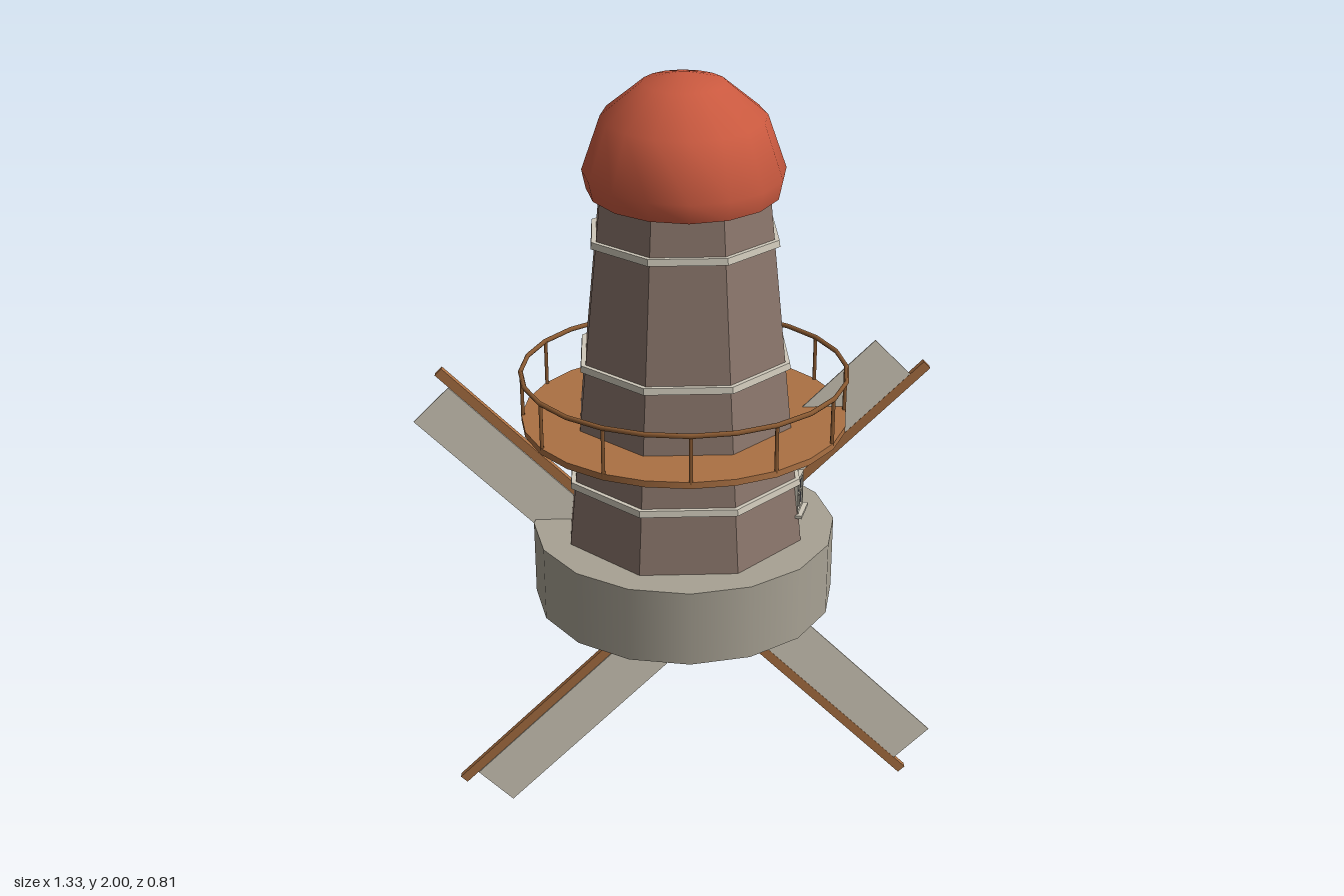
import * as THREE from 'three';
import { toCreasedNormals } from 'three/addons/utils/BufferGeometryUtils.js';

const mat = (name, color) => {
  const m = new THREE.MeshStandardMaterial({ color });
  m.name = name;
  return m;
};

export function createModel() {
  const stone = mat('grey stone', 0xa8a294);
  const brick = mat('brown brick', 0x8c776c);
  const trim = mat('pale trim', 0xcfc9ba);
  const canvas = mat('sail canvas', 0xd6cfbf);
  const red = mat('red roof', 0xc9593f);
  const wood = mat('light wood', 0xab7143);
  const darkWood = mat('dark wood', 0x8a5a32);
  const navy = mat('dark navy', 0x2a3148);

  const model = new THREE.Group();
  model.name = 'windmill';

  const add = (parent, name, geo, material, x = 0, y = 0, z = 0) => {
    const mesh = new THREE.Mesh(geo, material);
    mesh.name = name;
    mesh.position.set(x, y, z);
    parent.add(mesh);
    return mesh;
  };
  const box = (parent, name, size, material, x, y, z) =>
    add(parent, name, new THREE.BoxGeometry(...size), material, x, y, z);
  const group = (parent, name) => {
    const g = new THREE.Group();
    g.name = name;
    parent.add(g);
    return g;
  };

  // Flat-sided octagon with flats facing the axes, sized by its apothems
  const octagon = (top, bottom, height) => {
    const k = 1 / Math.cos(Math.PI / 8);
    const g = new THREE.CylinderGeometry(top * k, bottom * k, height, 8).rotateY(Math.PI / 8).toNonIndexed();
    g.computeVertexNormals();
    return g;
  };

  // Base and tapering tower with trim bands
  add(model, 'base', new THREE.CylinderGeometry(0.38, 0.38, 0.193, 16), stone, 0, 0.7635, 0);
  add(model, 'tower', octagon(0.194, 0.285, 0.89), brick, 0, 1.305, 0);
  const apothem = (y) => 0.285 - ((y - 0.86) / 0.89) * 0.091;
  for (const y of [1.02, 1.32, 1.62]) {
    add(model, 'band', octagon(apothem(y) + 0.01, apothem(y) + 0.012, 0.016), trim, 0, y, 0);
  }

  // Oval cap with a small arched vent at the back
  const profile = [[0, 1.73], [0.96, 1.73], [1, 1.775], [0.81, 1.9], [0.41, 1.976], [0, 2]]
    .map(([r, y]) => new THREE.Vector2(r, y));
  const cap = new THREE.LatheGeometry(profile, 16).scale(0.238, 1, 0.297);
  add(model, 'cap', toCreasedNormals(cap, 0.9), red);
  add(model, 'capVent', new THREE.TorusGeometry(0.027, 0.007, 6, 12, Math.PI), navy, 0, 1.825, -0.268);

  // Gallery: deck, posts and rail
  const gallery = group(model, 'gallery');
  add(gallery, 'deck', new THREE.CylinderGeometry(0.4, 0.4, 0.016, 24), wood, 0, 1.152, 0);
  add(gallery, 'rail', new THREE.TorusGeometry(0.398, 0.006, 6, 24).rotateX(Math.PI / 2), darkWood, 0, 1.274, 0);
  for (let i = 0; i < 12; i++) {
    const a = (i * Math.PI) / 6;
    add(gallery, 'post', new THREE.CylinderGeometry(0.005, 0.005, 0.12, 6), darkWood,
      Math.sin(a) * 0.396, 1.214, Math.cos(a) * 0.396);
  }

  // Door at the back, with frame, step, knob and canopy
  const door = group(model, 'door');
  box(door, 'doorPanel', [0.11, 0.225, 0.012], darkWood, 0, 0.975, -0.298);
  for (const s of [-1, 1]) box(door, 'doorJamb', [0.016, 0.24, 0.016], trim, s * 0.063, 0.98, -0.3);
  box(door, 'doorLintel', [0.142, 0.016, 0.016], trim, 0, 1.098, -0.3);
  box(door, 'doorStep', [0.16, 0.014, 0.08], trim, 0, 0.868, -0.333);
  add(door, 'doorKnob', new THREE.SphereGeometry(0.006, 8, 6), navy, 0.038, 0.975, -0.308);
  box(door, 'doorCanopy', [0.19, 0.008, 0.085], red, 0, 1.132, -0.348);

  // Four-pane windows, facing local +z
  const makeWindow = (x, y, z, yaw) => {
    const w = group(model, 'window');
    w.position.set(x, y, z);
    w.rotation.y = yaw;
    box(w, 'glass', [0.055, 0.08, 0.008], navy, 0, 0, 0);
    for (const s of [-1, 1]) {
      box(w, 'frameSide', [0.008, 0.09, 0.012], trim, s * 0.029, 0, 0.002);
      box(w, 'frameEnd', [0.066, 0.008, 0.012], trim, 0, s * 0.042, 0.002);
    }
    box(w, 'mullion', [0.005, 0.08, 0.01], trim, 0, 0, 0.002);
    box(w, 'crossbar', [0.055, 0.005, 0.01], trim, 0, 0, 0.002);
    box(w, 'sill', [0.08, 0.008, 0.024], trim, 0, -0.05, 0.008);
  };
  makeWindow(0, 1.405, -0.234, Math.PI);
  makeWindow(0.277, 0.977, 0.085, Math.PI / 2 - 0.3);

  // Hub and four sails, each rotated by a quarter turn
  const rotor = group(model, 'rotor');
  rotor.position.set(0, 0.667, 0);
  add(rotor, 'hub', new THREE.CylinderGeometry(0.045, 0.045, 0.05, 12).rotateX(Math.PI / 2), navy, 0, 0, -0.01);
  add(rotor, 'hubCap', new THREE.SphereGeometry(0.028, 12, 8), wood, 0, 0, -0.04);
  for (let i = 0; i < 4; i++) {
    const sail = group(rotor, 'sail');
    sail.rotation.z = -Math.PI / 4 + (i * Math.PI) / 2;
    box(sail, 'sailArm', [0.848, 0.024, 0.017], wood, 0.424, 0, -0.029);
    box(sail, 'sailCloth', [0.6, 0.127, 0.004], canvas, 0.503, 0.0765, -0.021);
    for (let j = 0; j < 7; j++) {
      box(sail, 'sailSlat', [0.009, 0.126, 0.008], darkWood, 0.167 + j * 0.1, 0.07, -0.028);
    }
  }
  return model;
}
